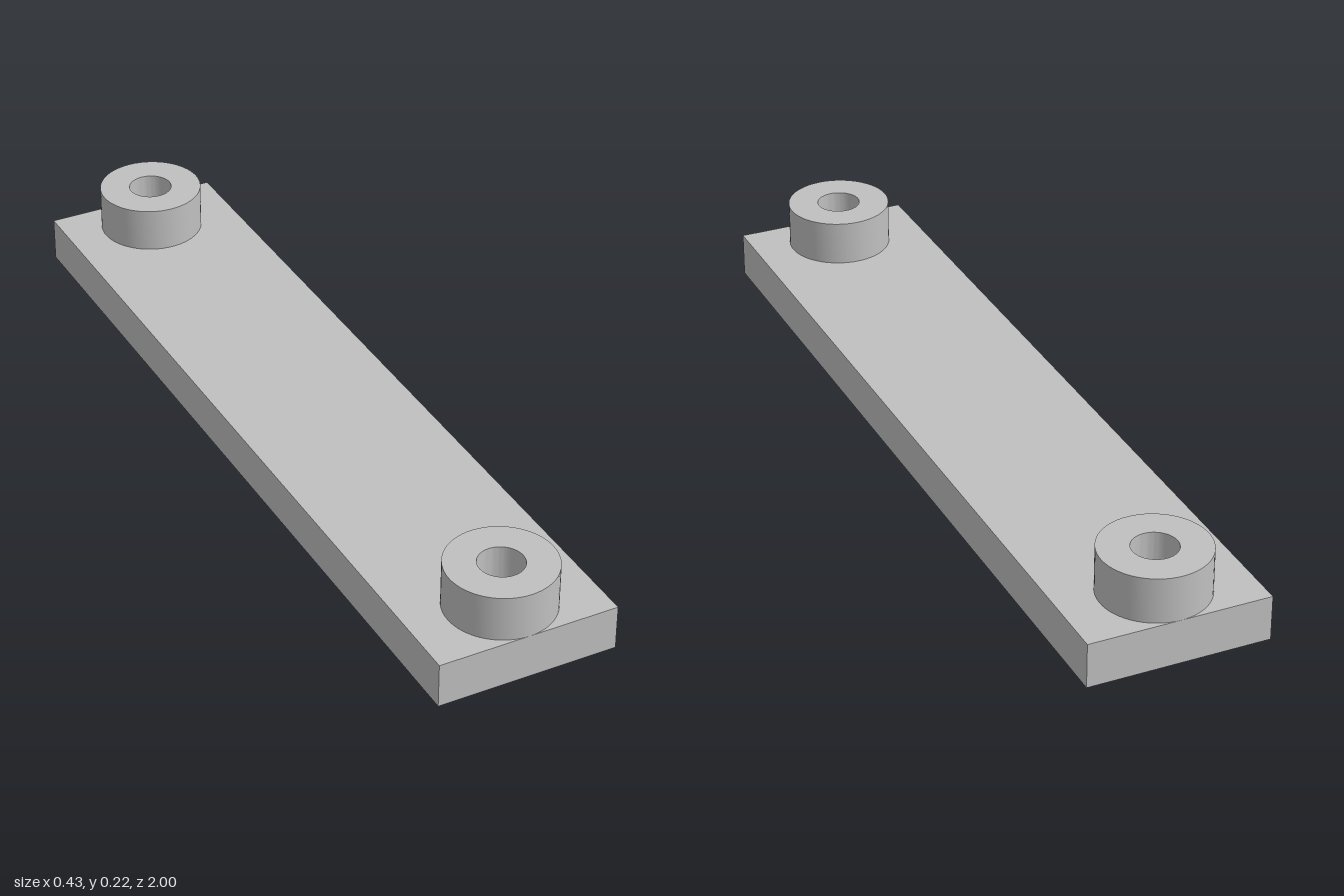
import * as THREE from 'three';
import { toCreasedNormals } from 'three/addons/utils/BufferGeometryUtils.js';

const WIDTH = 0.428, LENGTH = 2, PLATE_H = 0.107, TOP = 0.215;
const BOSS_R = 0.125, HOLE_R = 0.052, BOSS_Z = 0.875;

// Upright extrusion with smooth round walls and sharp rims
function extrudeUp(shape, height) {
  const geometry = new THREE.ExtrudeGeometry(shape, { depth: height, bevelEnabled: false, curveSegments: 32 });
  geometry.rotateX(-Math.PI / 2);
  return toCreasedNormals(geometry, Math.PI / 6);
}

function addHole(shape, y) {
  shape.holes.push(new THREE.Path().absarc(0, y, HOLE_R, 0, Math.PI * 2, true));
}

export function createModel() {
  const group = new THREE.Group();
  group.name = 'mountingBar';
  const grey = new THREE.MeshStandardMaterial({ color: 0xc0c0c0 });
  grey.name = 'light grey';

  // Flat bar with a through hole near each end
  const bar = new THREE.Shape([
    new THREE.Vector2(-WIDTH / 2, -LENGTH / 2),
    new THREE.Vector2(WIDTH / 2, -LENGTH / 2),
    new THREE.Vector2(WIDTH / 2, LENGTH / 2),
    new THREE.Vector2(-WIDTH / 2, LENGTH / 2),
  ]);
  for (const side of [1, -1]) addHole(bar, side * BOSS_Z);
  const plate = new THREE.Mesh(extrudeUp(bar, PLATE_H), grey);
  plate.name = 'plate';
  group.add(plate);

  // Ring-shaped boss standing over each hole
  const ring = new THREE.Shape().absarc(0, 0, BOSS_R, 0, Math.PI * 2, false);
  addHole(ring, 0);
  const bossGeometry = extrudeUp(ring, TOP - PLATE_H);
  for (const [name, side] of [['frontBoss', 1], ['backBoss', -1]]) {
    const boss = new THREE.Mesh(bossGeometry, grey);
    boss.name = name;
    boss.position.set(0, PLATE_H, side * BOSS_Z);
    group.add(boss);
  }
  return group;
}
